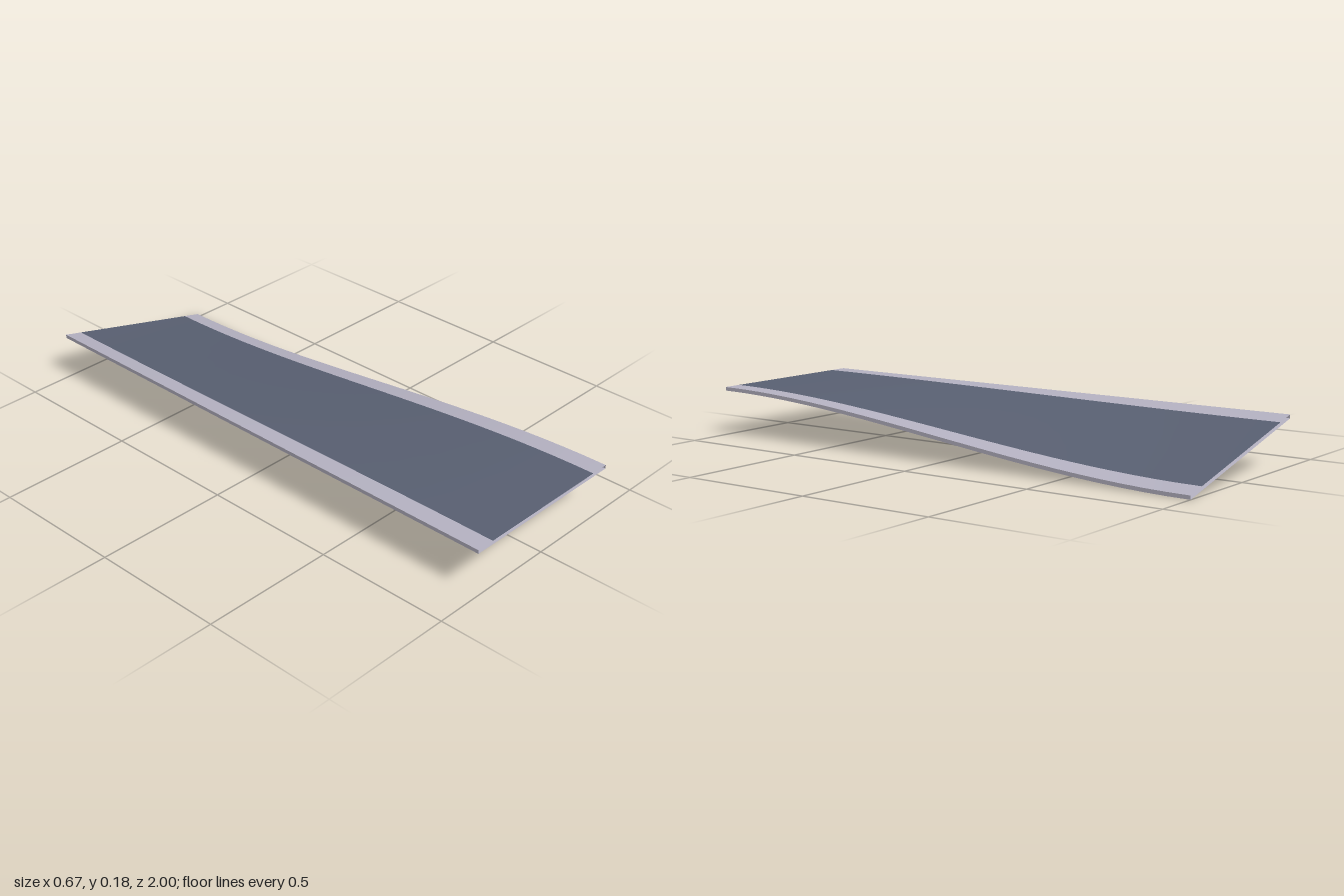
import * as THREE from 'three';

const HALF_WIDTH = 0.333, ROAD_HALF = 0.263, LENGTH = 2;
const TOP = 0.18, THICKNESS = 0.0135, SEGMENTS = 24;

// Height of the banked deck: the +x edge eases down towards the back.
function deckHeight(x, z) {
  const t = (1 - z) / 2;
  const ease = t * t * (3 - 2 * t);
  const across = (x + HALF_WIDTH) / (2 * HALF_WIDTH);
  return TOP - (TOP - THICKNESS) * ease * across;
}

// Lengthwise strip between two cross-section points [x, depth below deck].
function strip(name, [xa, da], [xb, db], material) {
  const geometry = new THREE.PlaneGeometry(1, LENGTH, 1, SEGMENTS);
  const p = geometry.attributes.position;
  for (let i = 0; i < p.count; i++) {
    const u = p.getX(i) + 0.5, z = -p.getY(i);
    const x = xa + (xb - xa) * u, depth = da + (db - da) * u;
    p.setXYZ(i, x, deckHeight(x, z) - depth, z);
  }
  geometry.computeVertexNormals();
  const mesh = new THREE.Mesh(geometry, material);
  mesh.name = name;
  return mesh;
}

export function createModel() {
  const asphalt = new THREE.MeshStandardMaterial({ color: 0x596072, side: THREE.DoubleSide });
  asphalt.name = 'asphalt';
  const concrete = new THREE.MeshStandardMaterial({ color: 0xb5b2c2, side: THREE.DoubleSide });
  concrete.name = 'concrete';

  const W = HALF_WIDTH, R = ROAD_HALF, T = THICKNESS;
  const model = new THREE.Group();
  model.name = 'bankedRoad';
  // Cross-section runs clockwise; both ends stay open.
  model.add(
    strip('rightShoulder', [-W, 0], [-R, 0], concrete),
    strip('roadSurface', [-R, 0], [R, 0], asphalt),
    strip('leftShoulder', [R, 0], [W, 0], concrete),
    strip('leftSide', [W, 0], [W, T], concrete),
    strip('underside', [W, T], [-W, T], concrete),
    strip('rightSide', [-W, T], [-W, 0], concrete),
  );
  return model;
}
